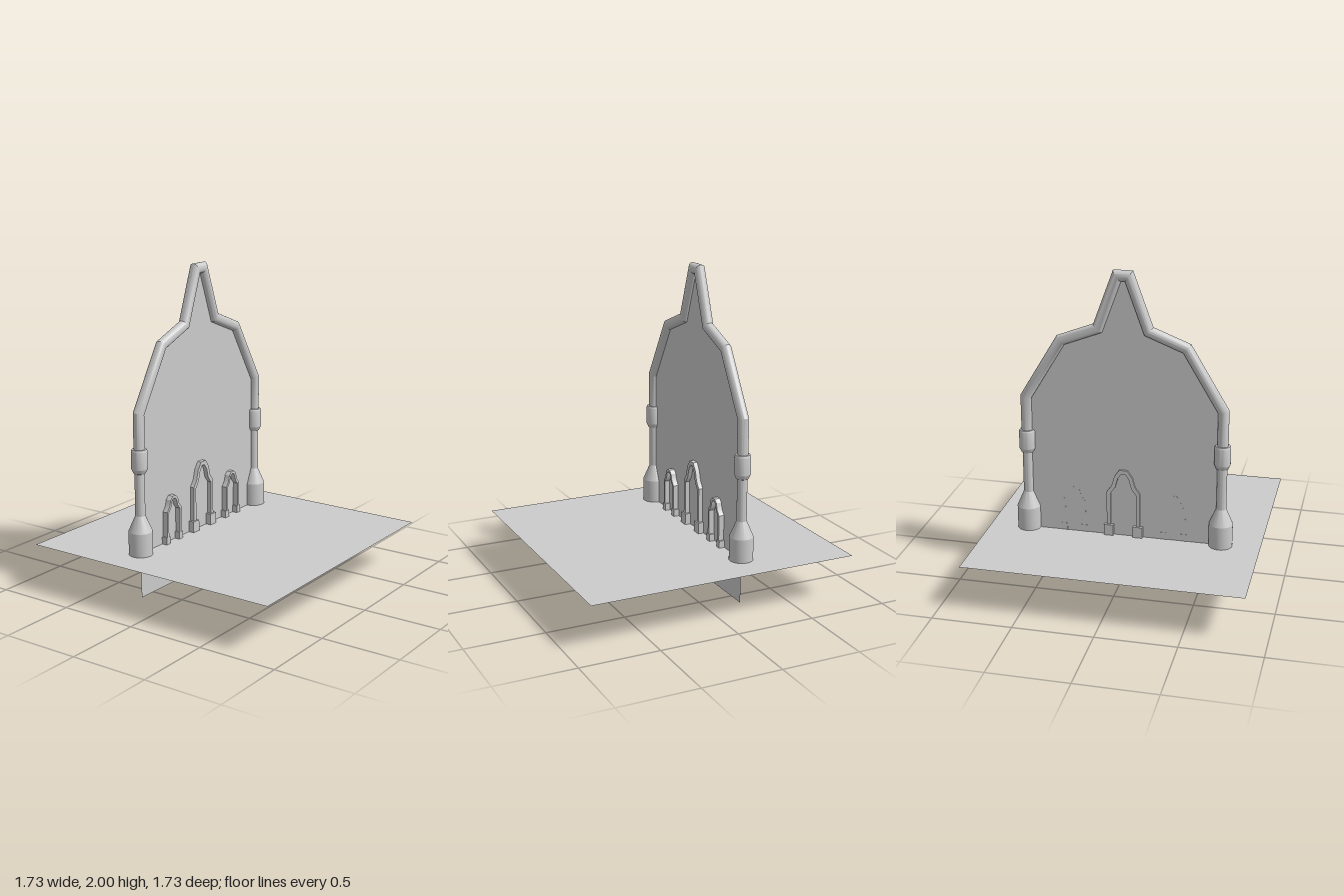
import * as THREE from 'three';
import { toCreasedNormals } from 'three/addons/utils/BufferGeometryUtils.js';

const WALL_X = -0.224, FLOOR_Y = 0.287;
const material = new THREE.MeshStandardMaterial({ color: 0xcccccc });
const thin = new THREE.MeshStandardMaterial({ color: 0xcccccc, side: THREE.DoubleSide });

function add(parent, name, geometry, mat = material) {
  const mesh = new THREE.Mesh(geometry, mat);
  mesh.name = name;
  parent.add(mesh);
  return mesh;
}

// Completes half an outline of [z, y] points, running foot to top, by mirroring in z
const mirrored = (half) => [...half, ...half.map(([z, y]) => [-z, y]).reverse()];

// Straight pipe lengths with mitred joints along [z, y] points; rx is the half depth in x
function mitredPipe(path, r, rx, sides, phase = 0) {
  const pts = path.map(([z, y]) => new THREE.Vector2(z, y));
  const normals = pts.slice(1).map((p, i) => {
    const t = p.clone().sub(pts[i]).normalize();
    return new THREE.Vector2(-t.y, t.x);
  });
  const pos = [], index = [];
  pts.forEach((p, i) => {
    const n1 = normals[Math.max(i - 1, 0)], n2 = normals[Math.min(i, normals.length - 1)];
    const m = n1.clone().add(n2).normalize();
    m.divideScalar(m.dot(n1));
    for (let j = 0; j < sides; j++) {
      const a = phase + (j / sides) * Math.PI * 2, s = r * Math.sin(a);
      pos.push(rx * Math.cos(a), p.y + m.y * s, p.x + m.x * s);
      if (i === 0) continue;
      const k = (j + 1) % sides, lo = (i - 1) * sides, hi = i * sides;
      index.push(lo + j, lo + k, hi + k, lo + j, hi + k, hi + j);
    }
  });
  const g = new THREE.BufferGeometry();
  g.setAttribute('position', new THREE.Float32BufferAttribute(pos, 3));
  g.setIndex(index);
  return toCreasedNormals(g, 0.5);
}

// Small square-section arch standing on two block feet
function smallArch(name, x, z, half, r, rx, foot) {
  const arch = new THREE.Group();
  arch.name = name;
  arch.position.set(x, 0, z);
  add(arch, 'archFrame',
    mitredPipe(mirrored(half), r, rx * Math.SQRT2, 4, Math.PI / 4).scale(1, 1, 1));
  for (const s of [1, -1]) {
    add(arch, 'archFoot', new THREE.BoxGeometry(foot.depth, foot.height, foot.width))
      .position.set(0, FLOOR_Y + foot.height / 2, s * half[0][0]);
  }
  return arch;
}

export function createModel() {
  const model = new THREE.Group();
  model.name = 'archwayOnFloor';

  // Floor sheet
  add(model, 'floor', new THREE.PlaneGeometry(1.725, 1.725).rotateX(-Math.PI / 2), thin)
    .position.y = FLOOR_Y;

  // Pointed frame and the thin wall that fills it, reaching below the floor
  const frame = [[0.614, 0.9], [0.614, 1.168], [0.387, 1.547], [0.156, 1.637], [0.036, 1.966]];
  add(model, 'frame', mitredPipe(mirrored(frame), 0.034, 0.034, 32)).position.x = WALL_X;

  const outline = mirrored([[0.614, 0], ...frame.slice(1)]);
  const wall = new THREE.ShapeGeometry(new THREE.Shape(outline.map((p) => new THREE.Vector2(...p))));
  add(model, 'wall', wall.rotateY(-Math.PI / 2), thin).position.x = WALL_X;

  // Columns with a flared base and a collar
  const profile = [
    [0, FLOOR_Y], [0.074, FLOOR_Y], [0.074, 0.435], [0.031, 0.535], [0.031, 0.8],
    [0.038, 0.803], [0.05, 0.83], [0.05, 0.94], [0.045, 0.952], [0.03, 0.952],
  ].map((p) => new THREE.Vector2(...p));
  const column = toCreasedNormals(new THREE.LatheGeometry(profile, 32), 0.4);
  for (const s of [1, -1]) add(model, 'column', column).position.set(WALL_X, 0, s * 0.614);

  // Three small arches along the wall
  model.add(smallArch('centreArch', -0.216, 0,
    [[0.093, 0.34], [0.093, 0.577], [0.063, 0.618], [0.046, 0.68], [0.019, 0.72]],
    0.0125 / Math.SQRT1_2, 0.02, { width: 0.06, height: 0.072, depth: 0.06 }));
  for (const s of [1, -1]) {
    model.add(smallArch('sideArch', -0.207, s * 0.318,
      [[0.065, 0.32], [0.065, 0.492], [0.041, 0.522], [0.03, 0.562], [0.013, 0.579]],
      0.0085 / Math.SQRT1_2, 0.0175, { width: 0.038, height: 0.046, depth: 0.038 }));
  }
  return model;
}
